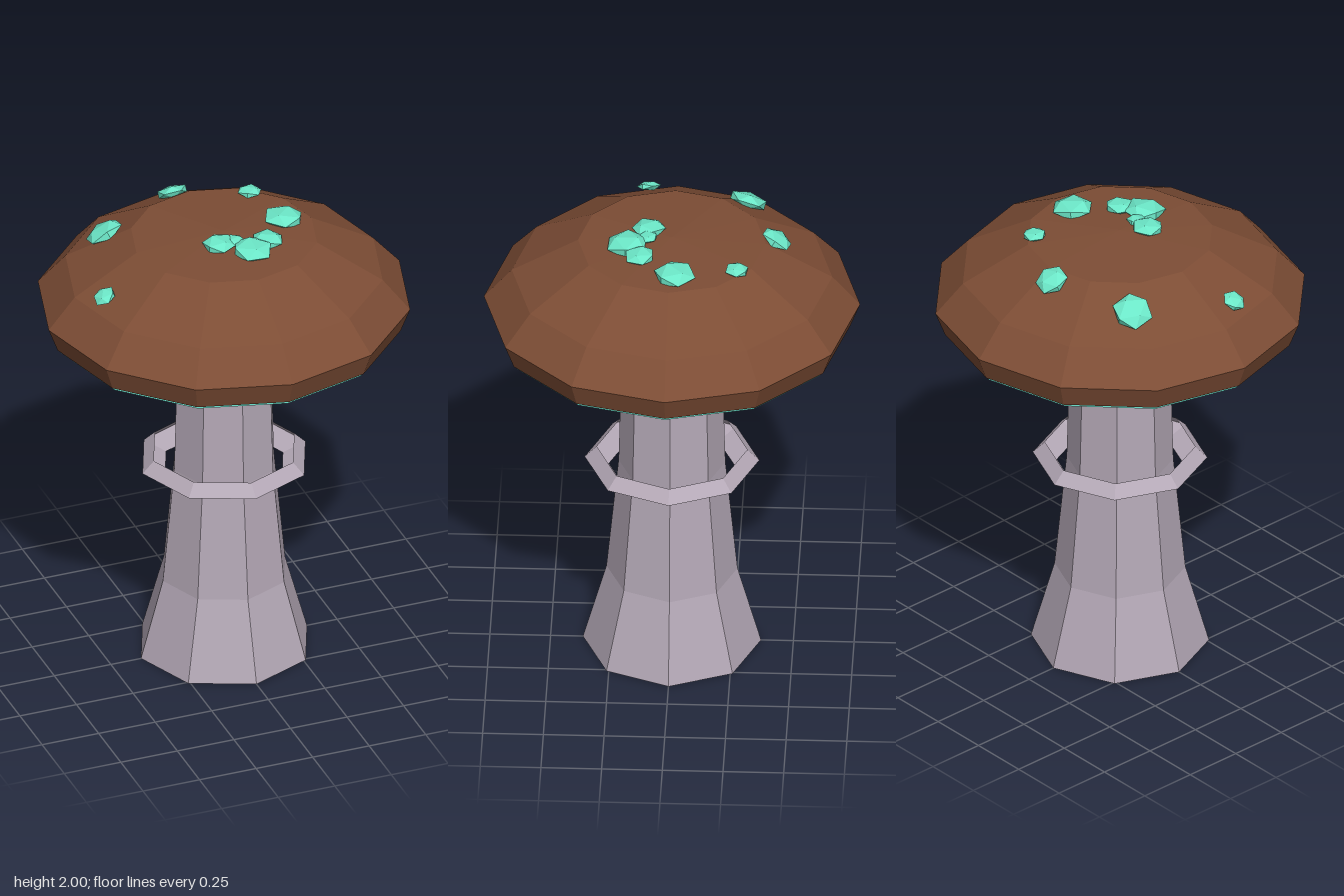
import * as THREE from 'three';

const material = (name, color, side = THREE.FrontSide) => {
  const m = new THREE.MeshStandardMaterial({ color, flatShading: true, side });
  m.name = name;
  return m;
};

// Low-poly turned part: profile is [radius, y] from bottom to top
const turned = (name, profile, sides, mat) => {
  const points = profile.map(([r, y]) => new THREE.Vector2(r, y));
  const mesh = new THREE.Mesh(new THREE.LatheGeometry(points, sides), mat);
  mesh.name = name;
  return mesh;
};

// Upper side of the cap, from its widest rim to the apex
const DOME = [[0.775, 1.658], [0.66, 1.79], [0.387, 1.945], [0, 1.968]];

// Height and outward slope of the dome at a radius
function domeSurface(r) {
  let i = 0;
  while (i < DOME.length - 2 && r < DOME[i + 1][0]) i++;
  const [r0, y0] = DOME[i], [r1, y1] = DOME[i + 1];
  const slope = (y1 - y0) / (r0 - r1);
  return { y: y0 + (r0 - r) * slope, slope };
}

export function createModel() {
  const group = new THREE.Group();
  group.name = 'mushroom';
  const stemMat = material('pale mauve', 0xb4a8b6, THREE.DoubleSide);
  const capMat = material('brown', 0x7d4d35);
  const gillMat = material('gill teal', 0x66d8c4, THREE.DoubleSide);
  const spotMat = material('bright teal', 0x6eeccc);

  // Open-ended stem, loose skirt ring, cap closed underneath, and gill cone with a hole for the stem
  group.add(
    turned('stem', [[0.367, 0], [0.27, 0.35], [0.22, 0.87], [0.203, 1.53]], 8, stemMat),
    turned('stemRing', [[0.26, 0.85], [0.36, 0.882], [0.31, 0.932]], 8, stemMat),
    turned('cap', [[0, 1.543], [0.735, 1.553], ...DOME], 12, capMat),
    turned('gills', [[0.222, 1.492], [0.72, 1.538]], 12, gillMat),
  );

  // Flattened spots lying on the cap: x, z, radius
  const spots = new THREE.Group();
  spots.name = 'spots';
  const spotGeometry = new THREE.IcosahedronGeometry(1, 0);
  const up = new THREE.Vector3(0, 1, 0);
  [
    [-0.41, -0.295, 0.086], [-0.06, -0.425, 0.07], [0.22, -0.275, 0.052],
    [0.27, -0.022, 0.089], [-0.06, 0.097, 0.071], [0.01, 0.1, 0.044],
    [0.055, 0.183, 0.09], [0.143, 0.128, 0.068], [-0.57, 0.117, 0.051],
  ].forEach(([x, z, size], i) => {
    const r = Math.hypot(x, z);
    const { y, slope } = domeSurface(r);
    const normal = new THREE.Vector3(x / r * slope, 1, z / r * slope).normalize();
    const spot = new THREE.Mesh(spotGeometry, spotMat);
    spot.name = `spot${i + 1}`;
    spot.scale.set(size, size * 0.4, size);
    spot.position.set(x, y, z).addScaledVector(normal, 0.01);
    spot.quaternion.setFromUnitVectors(up, normal);
    spot.rotateY(i * 1.3);
    spots.add(spot);
  });
  group.add(spots);
  return group;
}
